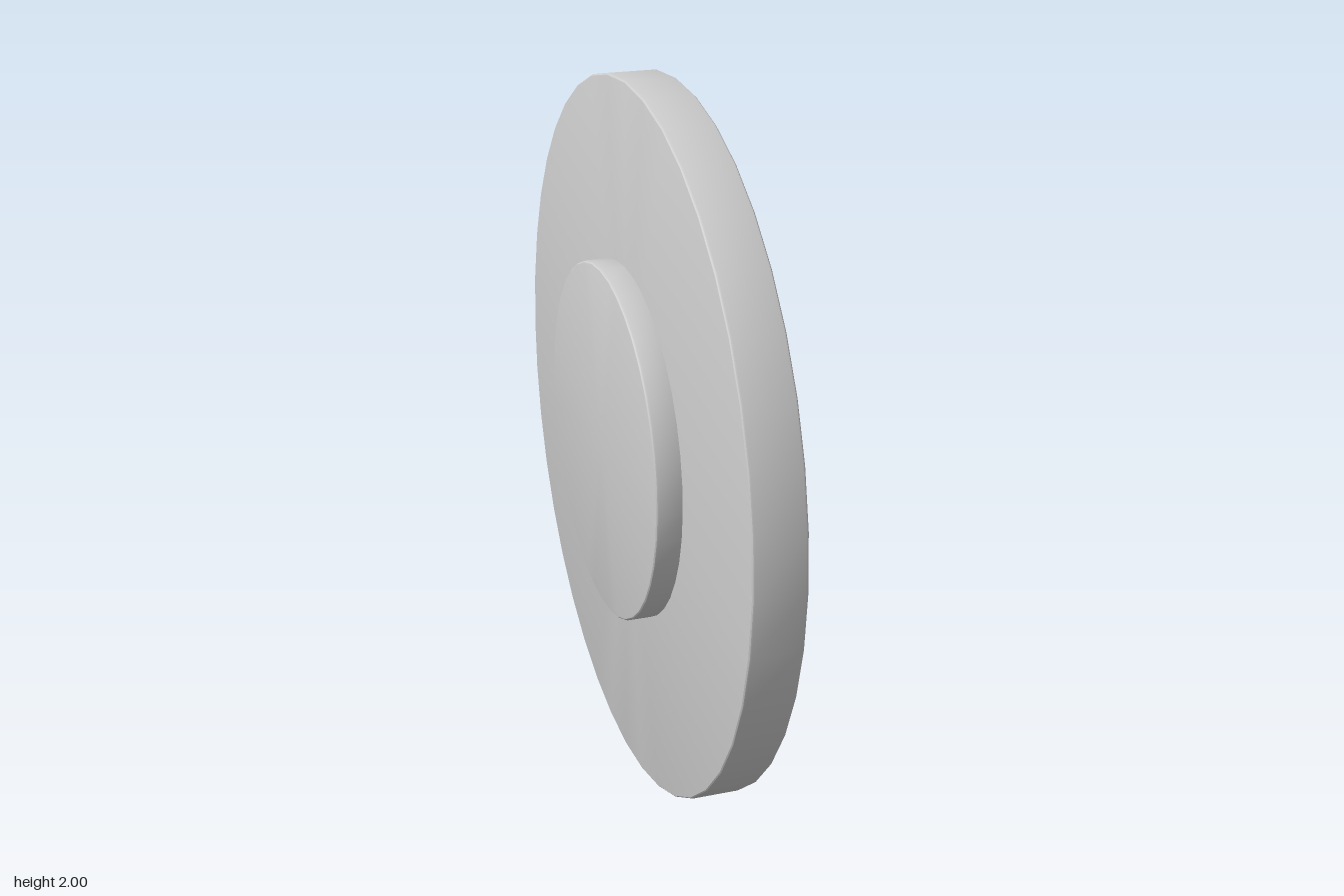
import * as THREE from 'three';
import { toCreasedNormals } from 'three/addons/utils/BufferGeometryUtils.js';

const SEGMENTS = 40;
const BEVEL = 0.008;

// Solid disc with slightly rounded rims, its axis along x, spanning x0 to x1
function disc(name, radius, x0, x1, material) {
  const profile = [new THREE.Vector2(0, x0)];
  for (const [centre, start] of [[x0 + BEVEL, -Math.PI / 2], [x1 - BEVEL, 0]]) {
    for (let i = 0; i <= 3; i++) {
      const a = start + (i / 3) * (Math.PI / 2);
      profile.push(new THREE.Vector2(
        radius - BEVEL + BEVEL * Math.cos(a),
        centre + BEVEL * Math.sin(a)
      ));
    }
  }
  profile.push(new THREE.Vector2(0, x1));
  const lathe = new THREE.LatheGeometry(profile, SEGMENTS).rotateZ(-Math.PI / 2);
  const mesh = new THREE.Mesh(toCreasedNormals(lathe, 0.4), material);
  mesh.name = name;
  mesh.position.y = 1;
  return mesh;
}

export function createModel() {
  const model = new THREE.Group();
  model.name = 'steppedDisc';
  const grey = new THREE.MeshStandardMaterial({ color: 0xcccccc });

  // Large plate, and the smaller raised boss on its -x side
  model.add(disc('plate', 1, -0.036, 0.107, grey));
  model.add(disc('boss', 0.5, -0.107, -0.02, grey));
  return model;
}
